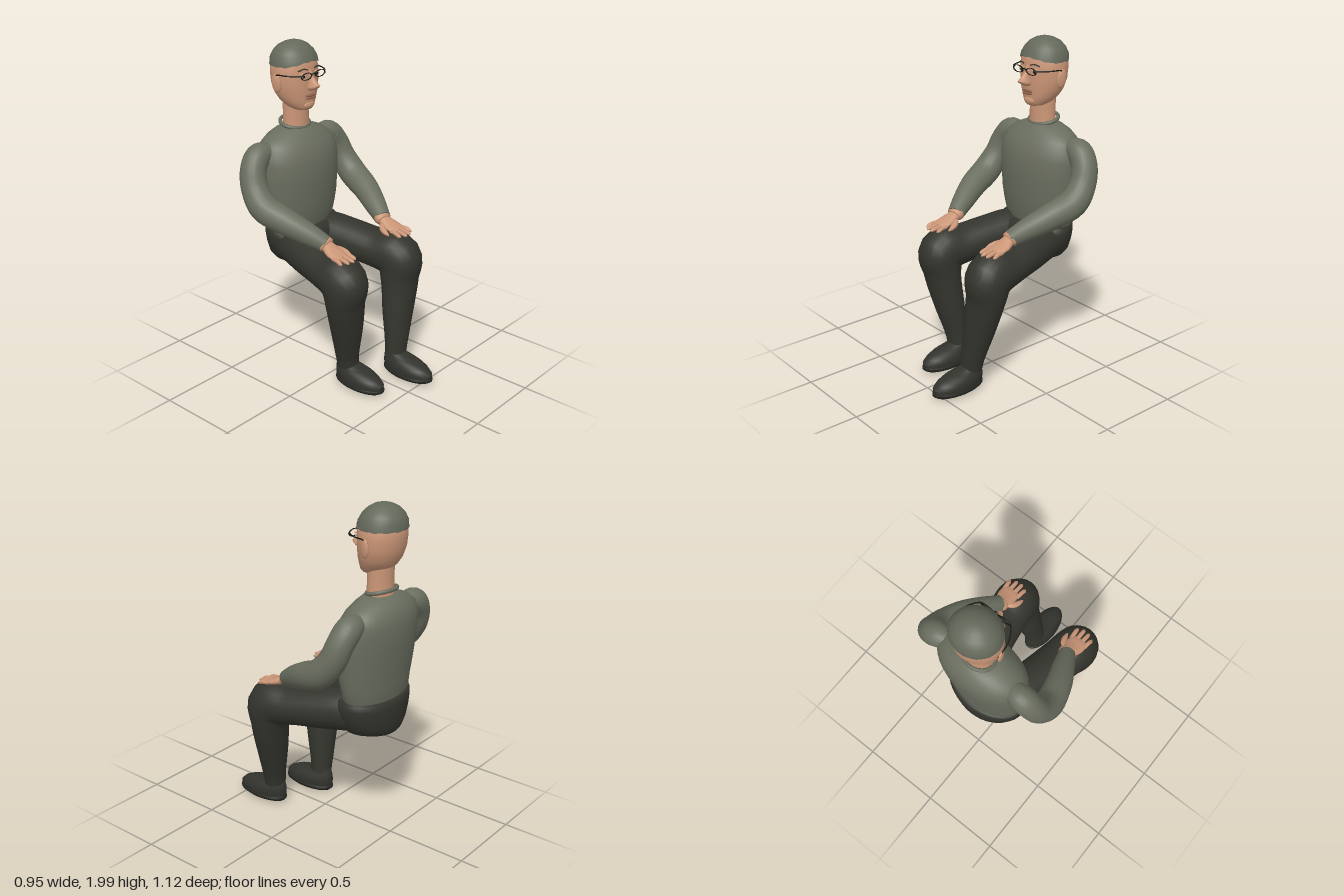
import * as THREE from 'three';
import { toCreasedNormals } from 'three/addons/utils/BufferGeometryUtils.js';

const mat = (name, color) => {
  const m = new THREE.MeshStandardMaterial({ color });
  m.name = name;
  return m;
};

// Closed skin over a list of elliptical rings { c, u, v }, with u x v pointing along the loft
function skinRings(rings, sides) {
  const pos = [], idx = [], n = rings.length;
  for (const { c, u, v } of rings)
    for (let j = 0; j < sides; j++) {
      const a = (j / sides) * Math.PI * 2;
      const p = c.clone().addScaledVector(u, Math.cos(a)).addScaledVector(v, Math.sin(a));
      pos.push(p.x, p.y, p.z);
    }
  pos.push(...rings[0].c.toArray(), ...rings[n - 1].c.toArray());
  const first = n * sides, last = first + 1;
  for (let j = 0; j < sides; j++) {
    const k = (j + 1) % sides;
    for (let i = 0; i < n - 1; i++) {
      const a = i * sides + j, b = i * sides + k;
      idx.push(a, b, a + sides, b, b + sides, a + sides);
    }
    idx.push(first, k, j, last, (n - 1) * sides + j, (n - 1) * sides + k);
  }
  const g = new THREE.BufferGeometry();
  g.setAttribute('position', new THREE.Float32BufferAttribute(pos, 3));
  g.setIndex(idx);
  return g;
}

// Limb along a smooth path; each point is [x, y, z, half width, half thickness]
function limb(points, { ref = [1, 0, 0], sides = 20, steps = 5 } = {}) {
  const path = new THREE.CatmullRomCurve3(points.map((p) => new THREE.Vector3(p[0], p[1], p[2])));
  const size = new THREE.CatmullRomCurve3(points.map((p) => new THREE.Vector3(p[3], p[4], 0)), false, 'catmullrom', 0.5);
  const rings = [], n = (points.length - 1) * steps;
  for (let i = 0; i <= n; i++) {
    const t = path.getTangent(i / n), r = size.getPoint(i / n);
    const u = new THREE.Vector3(...ref);
    u.addScaledVector(t, -u.dot(t)).normalize();
    const v = t.clone().cross(u);
    rings.push({ c: path.getPoint(i / n), u: u.multiplyScalar(r.x), v: v.multiplyScalar(r.y) });
  }
  return toCreasedNormals(skinRings(rings, sides), 0.9);
}

// Upright body from level sections [y, half width, front z, back z]
function stack(sections, x = 0, sides = 32, rule = null) {
  const g = skinRings(sections.map(([y, w, f, b]) => ({
    c: new THREE.Vector3(x, y, (f + b) / 2),
    u: new THREE.Vector3(w, 0, 0),
    v: new THREE.Vector3(0, 0, -(f - b) / 2),
  })), sides);
  if (rule) rule(g.attributes.position);
  return toCreasedNormals(g, 0.9);
}

export function createModel() {
  const M = {
    skin: mat('skin', 0xcb9677), sweater: mat('sweater', 0x6a6e5f), hair: mat('hair', 0x64695b),
    trousers: mat('trousers', 0x33342d), shoe: mat('shoe leather', 0x32332d), sole: mat('shoe sole', 0x272822),
    frame: mat('glasses frame', 0x16160f), lips: mat('lips', 0x8a5a48), eye: mat('eye white', 0xb9b2a4),
    brow: mat('eyebrow', 0x3c3a30),
  };
  const root = new THREE.Group();
  root.name = 'seatedMan';
  const add = (name, geo, material, parent = root) => {
    const m = new THREE.Mesh(geo, material);
    m.name = name;
    parent.add(m);
    return m;
  };
  const ball = (x, y, z, sx, sy, sz) => new THREE.SphereGeometry(1, 20, 14).scale(sx, sy, sz).translate(x, y, z);
  const wire = (pts, r) =>
    new THREE.TubeGeometry(new THREE.CatmullRomCurve3(pts.map((p) => new THREE.Vector3(...p))), 16, r, 6);

  // Trunk
  add('sweaterBody', stack([
    [0.87, 0.235, -0.24, -0.505], [0.9, 0.25, -0.23, -0.515], [0.98, 0.265, -0.215, -0.52],
    [1.05, 0.276, -0.205, -0.53], [1.2, 0.288, -0.195, -0.55], [1.3, 0.292, -0.2, -0.558],
    [1.36, 0.285, -0.215, -0.557], [1.41, 0.26, -0.243, -0.547], [1.45, 0.205, -0.275, -0.525],
    [1.475, 0.145, -0.3, -0.5], [1.49, 0.1, -0.315, -0.48],
  ], 0, 40), M.sweater);
  add('pelvis', stack([
    [0.67, 0.15, -0.22, -0.505], [0.685, 0.19, -0.195, -0.515], [0.73, 0.23, -0.175, -0.525],
    [0.8, 0.255, -0.165, -0.532], [0.85, 0.262, -0.168, -0.535], [0.885, 0.258, -0.19, -0.53],
    [0.895, 0.245, -0.21, -0.52],
  ], 0, 40), M.trousers);
  add('neck', stack([
    [1.45, 0.088, -0.315, -0.465], [1.52, 0.085, -0.32, -0.46], [1.6, 0.083, -0.32, -0.46], [1.68, 0.085, -0.32, -0.465],
  ]), M.skin);
  add('collar', new THREE.TorusGeometry(0.094, 0.012, 10, 36).scale(1, 0.86, 1).rotateX(Math.PI / 2 + 0.25)
    .translate(0, 1.508, -0.4), M.sweater);

  // Head
  const head = new THREE.Group();
  head.name = 'head';
  root.add(head);
  add('face', stack([
    [1.6, 0.03, -0.295, -0.36], [1.607, 0.058, -0.279, -0.39], [1.625, 0.085, -0.272, -0.43],
    [1.66, 0.112, -0.27, -0.475], [1.7, 0.132, -0.267, -0.502], [1.76, 0.147, -0.265, -0.522],
    [1.82, 0.15, -0.265, -0.529], [1.87, 0.145, -0.267, -0.53], [1.92, 0.125, -0.285, -0.51], [1.95, 0.09, -0.32, -0.48],
  ], 0, 40), M.skin, head);
  add('hair', stack([
    [1.865, 0.15, -0.261, -0.534], [1.905, 0.144, -0.267, -0.532], [1.94, 0.125, -0.286, -0.516],
    [1.97, 0.095, -0.315, -0.488], [1.988, 0.06, -0.345, -0.455], [1.997, 0.028, -0.375, -0.425], [2, 0.006, -0.395, -0.405],
  ], 0, 40, (p) => {
    // raised, slightly wavy hairline over the forehead
    for (let j = 0; j < 40; j++) {
      const front = Math.max(0, (p.getZ(j) + 0.4) / 0.14);
      p.setY(j, p.getY(j) + 0.028 * front ** 3 + 0.003 * Math.sin(j * 2.1));
    }
  }), M.hair, head);
  add('nose', stack([
    [1.725, 0.018, -0.25, -0.29], [1.735, 0.03, -0.225, -0.29], [1.748, 0.031, -0.204, -0.29],
    [1.758, 0.026, -0.196, -0.29], [1.78, 0.018, -0.22, -0.29], [1.81, 0.013, -0.248, -0.29], [1.845, 0.012, -0.262, -0.29],
  ], 0, 16), M.skin, head);
  add('chin', ball(0, 1.635, -0.287, 0.045, 0.028, 0.022), M.skin, head);
  for (const [i, y] of [1.678, 1.693].entries())
    add(i ? 'upperLip' : 'lowerLip', ball(0, y, -0.268, 0.042 - i * 0.002, 0.007, 0.016), M.lips, head);

  // Eyes, ears and glasses
  for (const s of [1, -1]) {
    add('eyeWhite', ball(s * 0.055, 1.812, -0.271, 0.024, 0.01, 0.006), M.eye, head);
    add('pupil', ball(s * 0.055, 1.812, -0.267, 0.009, 0.009, 0.004), M.frame, head);
    add('eyelid', ball(s * 0.056, 1.826, -0.273, 0.03, 0.006, 0.012), M.skin, head);
    add('eyebrow', wire([[s * 0.025, 1.848, -0.264], [s * 0.055, 1.856, -0.268], [s * 0.088, 1.846, -0.282]], 0.004), M.brow, head);
    const ear = add('ear', ball(0, 0, 0, 0.013, 0.055, 0.03), M.skin, head);
    ear.position.set(s * 0.153, 1.772, -0.392);
    ear.rotation.set(-0.08, s * -0.25, s * -0.08);
    add('lensRim', new THREE.TorusGeometry(0.041, 0.0045, 8, 32).scale(1, 0.48, 1)
      .translate(s * 0.056, 1.818, -0.244), M.frame, head);
    add('templeArm', wire([[s * 0.096, 1.825, -0.244], [s * 0.115, 1.826, -0.262], [s * 0.147, 1.825, -0.32],
      [s * 0.158, 1.822, -0.385], [s * 0.154, 1.8, -0.415]], 0.004), M.frame, head);
  }
  add('glassesBridge', wire([[-0.018, 1.822, -0.244], [0, 1.828, -0.238], [0.018, 1.822, -0.244]], 0.004), M.frame, head);

  // Arms and hands
  for (const s of [1, -1]) {
    const side = s > 0 ? 'left' : 'right';
    const flip = (pts) => pts.map(([x, ...rest]) => [s * x, ...rest]);
    add(side + 'Sleeve', limb(flip([
      [0.225, 1.375, -0.4, 0.058, 0.058], [0.3, 1.365, -0.407, 0.076, 0.076], [0.355, 1.3, -0.395, 0.077, 0.077],
      [0.382, 1.2, -0.36, 0.08, 0.08], [0.39, 1.105, -0.28, 0.085, 0.085], [0.355, 1.045, -0.145, 0.079, 0.079],
      [0.3, 0.985, -0.02, 0.066, 0.066], [0.255, 0.935, 0.075, 0.05, 0.05],
    ]), { ref: [s, 1, 0.5] }), M.sweater);
    const hand = new THREE.Group();
    hand.name = side + 'Hand';
    root.add(hand);
    add('palm', limb(flip([
      [0.25, 0.937, 0.05, 0.038, 0.03], [0.254, 0.925, 0.09, 0.043, 0.029], [0.258, 0.905, 0.14, 0.058, 0.023],
      [0.259, 0.893, 0.185, 0.057, 0.017], [0.258, 0.889, 0.205, 0.042, 0.01],
    ])), M.skin, hand);
    add('wristCuff', limb(flip([
      [0.26, 0.942, 0.062, 0.052, 0.042], [0.254, 0.932, 0.082, 0.054, 0.042], [0.253, 0.928, 0.09, 0.047, 0.036],
    ])), M.skin, hand);
    for (const [i, tip] of [0.258, 0.276, 0.272, 0.25].entries()) {
      const x = 0.21 + i * 0.032, spread = (i - 1.5) * 0.003;
      add('finger', limb(flip([
        [x, 0.892, 0.18, 0.014, 0.012], [x + spread, 0.888, 0.22, 0.0135, 0.012],
        [x + spread * 1.5, 0.88, tip - 0.012, 0.012, 0.01], [x + spread * 1.5, 0.876, tip, 0.004, 0.004],
      ]), { sides: 10, steps: 3 }), M.skin, hand);
    }
    add('thumb', limb(flip([
      [0.23, 0.91, 0.1, 0.018, 0.016], [0.195, 0.9, 0.125, 0.02, 0.016],
      [0.178, 0.888, 0.16, 0.016, 0.014], [0.172, 0.88, 0.192, 0.005, 0.005],
    ]), { sides: 10, steps: 3 }), M.skin, hand);
  }

  // Legs and shoes: the right foot is drawn further back than the left
  for (const s of [1, -1]) {
    const side = s > 0 ? 'left' : 'right';
    const back = s > 0 ? 0 : 1;
    add(side + 'TrouserLeg', limb([
      [0.115, 0.785, -0.4, 0.11, 0.1], [0.14, 0.795, -0.27, 0.122, 0.122], [0.175, 0.777, -0.12, 0.128, 0.122],
      [0.215, 0.752, 0.07, 0.132, 0.118], [0.238, 0.728, 0.215 - 0.02 * back, 0.135, 0.145],
      [0.23, 0.6, 0.237 - 0.035 * back, 0.125, 0.11], [0.193, 0.4, 0.257 - 0.075 * back, 0.102, 0.09],
      [0.16, 0.22, 0.277 - 0.12 * back, 0.077, 0.069], [0.148, 0.14, 0.282 - 0.13 * back, 0.068, 0.063],
    ].map(([x, ...rest]) => [s * x, ...rest]), { sides: 24 }), M.trousers);
    const shoe = new THREE.Group();
    shoe.name = side + 'Shoe';
    shoe.position.z = -0.14 * back;
    root.add(shoe);
    add('sole', stack([
      [0.006, 0.045, 0.5, 0.26], [0.018, 0.072, 0.54, 0.22], [0.032, 0.085, 0.56, 0.207], [0.045, 0.084, 0.56, 0.207],
      [0.05, 0.078, 0.55, 0.215],
    ], s * 0.144), M.sole, shoe);
    add('upper', stack([
      [0.045, 0.079, 0.553, 0.213], [0.07, 0.084, 0.556, 0.208], [0.095, 0.08, 0.53, 0.208], [0.115, 0.071, 0.49, 0.209],
      [0.13, 0.06, 0.435, 0.212], [0.142, 0.052, 0.37, 0.218], [0.16, 0.048, 0.335, 0.225],
    ], s * 0.144), M.shoe, shoe);
  }
  return root;
}
